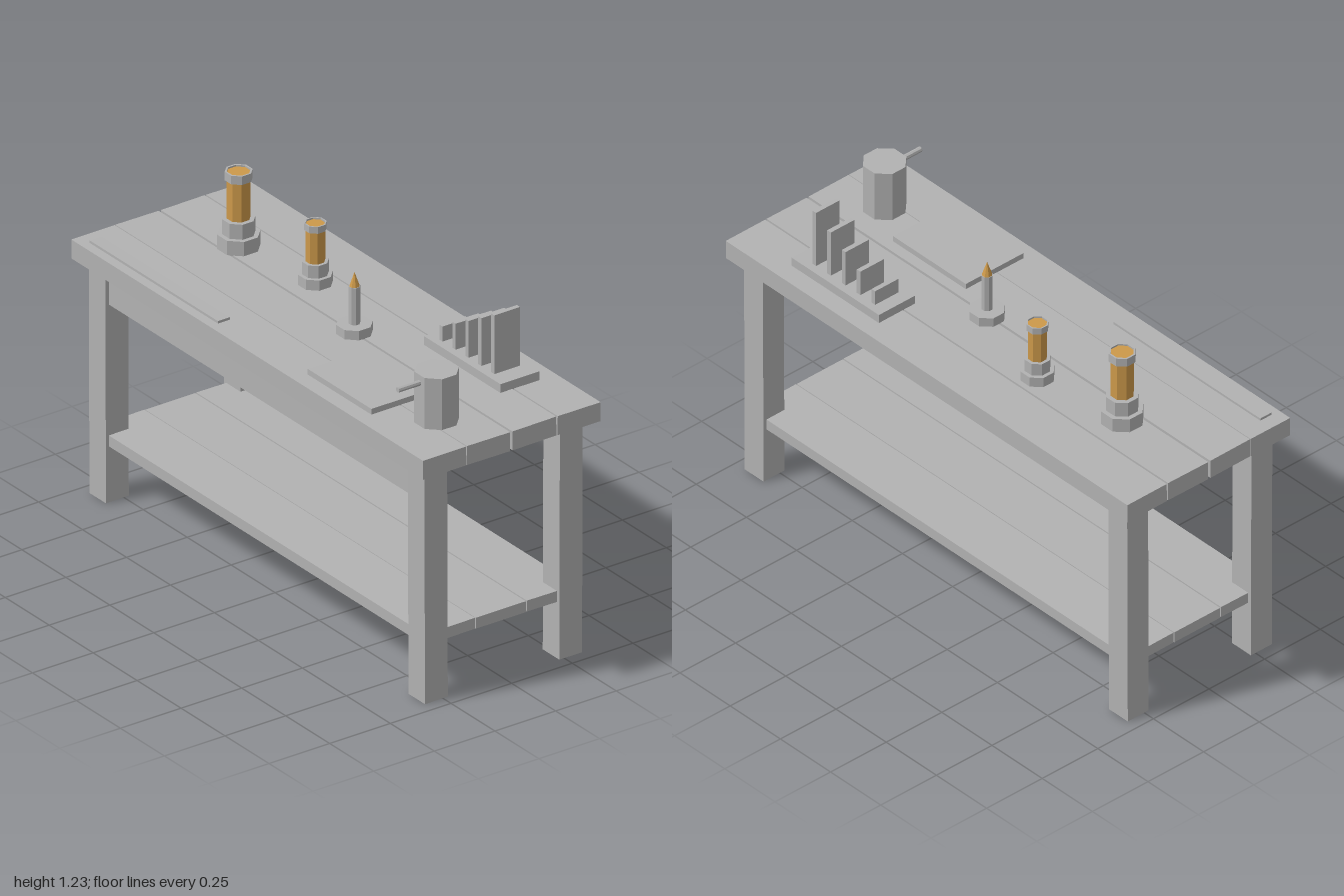
import * as THREE from 'three';

export function createModel() {
  const model = new THREE.Group();
  model.name = 'workbench';
  const grey = new THREE.MeshStandardMaterial({ color: 0xb2b2b2, flatShading: true });
  grey.name = 'grey';
  const amber = new THREE.MeshStandardMaterial({ color: 0xcc994a, flatShading: true });
  amber.name = 'amber';

  const add = (parent, name, geometry, material = grey) => {
    const mesh = new THREE.Mesh(geometry, material);
    mesh.name = name;
    parent.add(mesh);
    return mesh;
  };
  // Box given by its limits on each axis
  const box = (parent, name, [x0, x1], [y0, y1], [z0, z1]) => {
    const mesh = add(parent, name, new THREE.BoxGeometry(x1 - x0, y1 - y0, z1 - z0));
    mesh.position.set((x0 + x1) / 2, (y0 + y1) / 2, (z0 + z1) / 2);
    return mesh;
  };
  // Eight-sided upright column from y0 to y1, with flat sides facing the axes
  const column = (parent, name, radius, y0, y1, material = grey, topRadius = radius) => {
    const g = new THREE.CylinderGeometry(topRadius, radius, y1 - y0, 8);
    g.rotateY(Math.PI / 8);
    const mesh = add(parent, name, g, material);
    mesh.position.y = (y0 + y1) / 2;
    return mesh;
  };
  const group = (name, x, z) => {
    const g = new THREE.Group();
    g.name = name;
    g.position.set(x, 0, z);
    model.add(g);
    return g;
  };

  // Top planks, each slightly out of true
  [[0.187, 0.365, 0.004], [0.006, 0.184, -0.008], [-0.184, -0.004, 0.01], [-0.367, -0.19, -0.004]]
    .forEach(([z0, z1, tilt]) => {
      box(model, 'topPlank', [-1, 1], [0.876, 0.947], [z0, z1]).rotation.x = tilt;
    });

  // Legs
  for (const sx of [-1, 1]) {
    for (const sz of [-1, 1]) {
      const leg = box(model, 'leg', [-0.047, 0.047], [0.003, 0.878], [-0.047, 0.047]);
      leg.position.x = sx * 0.907;
      leg.position.z = sz * 0.278;
      leg.rotation.x = sz * 0.003;
    }
  }

  // Front apron and lower shelf
  box(model, 'apron', [-0.88, 0.88], [0.745, 0.876], [0.27, 0.312]);
  [[0.108, 0.312], [-0.102, 0.104], [-0.31, -0.106]].forEach(([z0, z1], i) => {
    box(model, 'shelfPlank', [-0.94, 0.94], [0.214, 0.255], [z0, z1]).rotation.x = (1 - i) * 0.01;
  });

  // Glass jars: stepped foot, amber body, open rim
  const jar = (name, x, z, foot, collar, body, rim, [y1, y2, y3, y4]) => {
    const g = group(name, x, z);
    column(g, 'foot', foot, 0.945, y1);
    column(g, 'collar', collar, y1, y2);
    column(g, 'glass', body, y2, y4 - 0.006, amber);
    const profile = [[body, y3], [rim, y3], [rim, y4], [body, y4], [body, y3]]
      .map(([r, y]) => new THREE.Vector2(r, y));
    const ring = new THREE.LatheGeometry(profile, 8, Math.PI / 8);
    add(g, 'rim', ring);
  };
  jar('largeJar', -0.632, -0.058, 0.075, 0.058, 0.041, 0.048, [1.0, 1.056, 1.2, 1.232]);
  jar('smallJar', -0.265, -0.108, 0.06, 0.046, 0.034, 0.039, [0.985, 1.032, 1.15, 1.175]);

  // Pointed tool on a round stand
  const tool = group('pointedTool', 0.102, -0.003);
  column(tool, 'stand', 0.063, 0.945, 0.981);
  column(tool, 'stem', 0.02, 0.981, 1.12);
  column(tool, 'tip', 0.018, 1.12, 1.172, amber, 0);

  // Rack with rising dividers
  const rack = group('rack', 0, 0);
  box(rack, 'rackBase', [0.315, 0.75], [0.945, 0.98], [-0.297, -0.135]);
  for (let i = 0; i < 5; i++) {
    const x = 0.375 + i * 0.0735;
    box(rack, 'divider', [x - 0.009, x + 0.009], [0.98, 1.036 + i * 0.041], [-0.268, -0.162]);
  }

  // Flat board and ruler
  box(model, 'board', [0.262, 0.625], [0.945, 0.968], [0.046, 0.306]);
  box(model, 'ruler', [-0.945, -0.215], [0.942, 0.956], [0.28, 0.33]);

  // Pot with a straight handle
  const pot = group('pot', 0.785, 0.153);
  column(pot, 'potBody', 0.077, 0.945, 1.138);
  const handle = add(pot, 'handle', new THREE.CylinderGeometry(0.01, 0.01, 0.11, 8));
  handle.rotation.x = Math.PI / 2;
  handle.position.set(0, 1.108, 0.106);

  return model;
}
